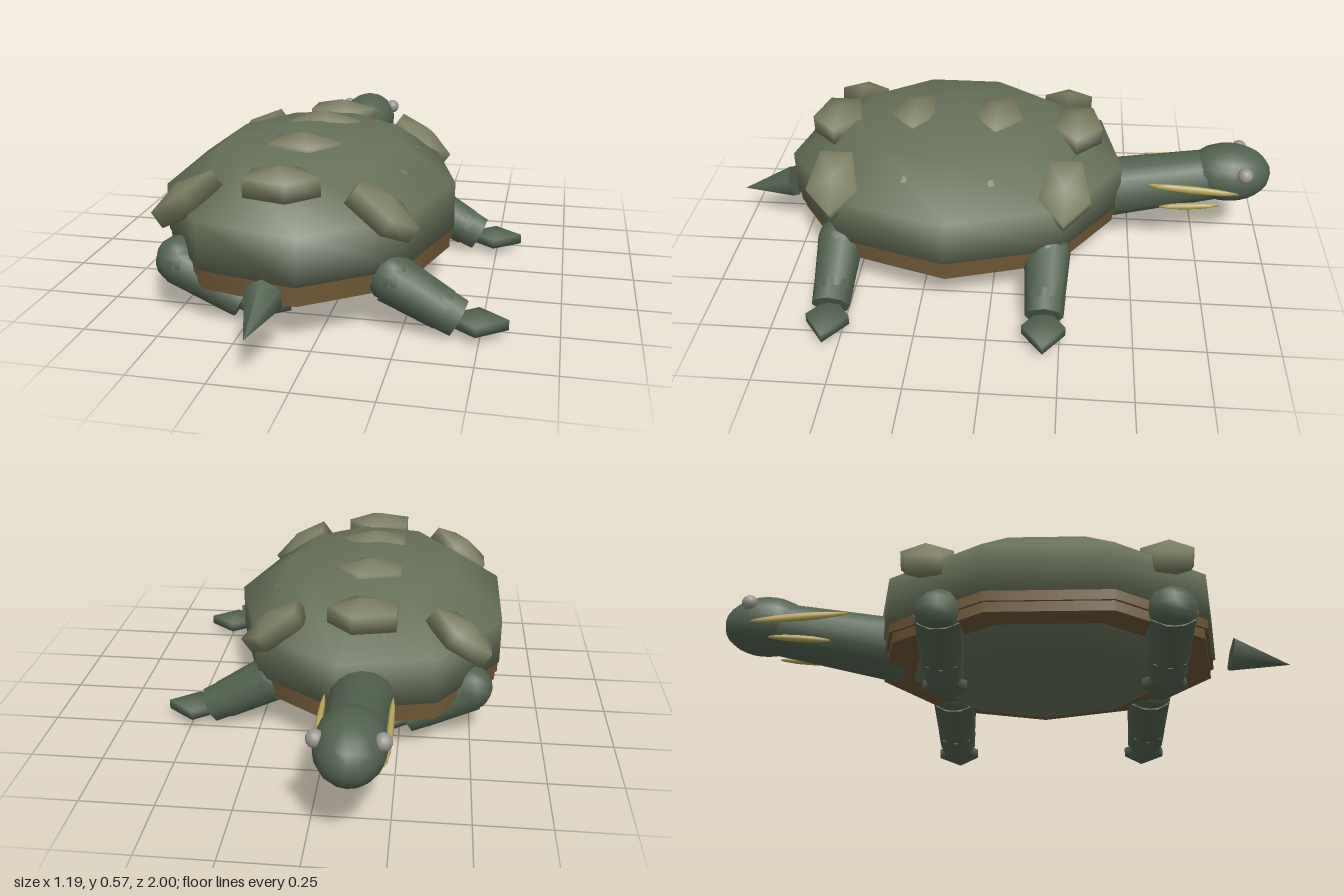
import * as THREE from 'three';

const material = (color) => new THREE.MeshStandardMaterial({ color });

export function createModel() {
  const model = new THREE.Group();
  const shellMat = material(0x667058), scuteMat = material(0x7a7d60), skinMat = material(0x536350);
  const rimMat = material(0x6e5735), stripeMat = material(0xb5a55c), eyeMat = material(0x999590);
  const cx = -0.13, cz = 0.155;

  const add = (parent, name, geometry, mat) => {
    const mesh = new THREE.Mesh(geometry, mat);
    mesh.name = name;
    parent.add(mesh);
    return mesh;
  };
  // Ellipsoid with a corner pointing to +x
  const ball = (parent, name, mat, [x, y, z], [rx, ry, rz], w = 16, h = 12) => {
    const geometry = new THREE.SphereGeometry(1, w, h).rotateY(Math.PI).scale(rx, ry, rz);
    const mesh = add(parent, name, geometry, mat);
    mesh.position.set(x, y, z);
    return mesh;
  };
  // Tapered cylinder between two points
  const limb = (parent, name, mat, from, to, r0, r1, sides) => {
    const a = new THREE.Vector3(...from), b = new THREE.Vector3(...to);
    const dir = b.clone().sub(a);
    const mesh = add(parent, name, new THREE.CylinderGeometry(r1, r0, dir.length(), sides), mat);
    mesh.position.copy(a).add(b).multiplyScalar(0.5);
    mesh.quaternion.setFromUnitVectors(new THREE.Vector3(0, 1, 0), dir.normalize());
    return mesh;
  };

  // Nine-sided shell and the stepped rim around its lower edge
  ball(model, 'shell', shellMat, [cx, 0.3, cz], [0.523, 0.263, 0.615 / 0.951], 9, 5);
  [['upperRim', 0.2, 0.04, 0.492, 0.605], ['lowerRim', 0.165, 0.04, 0.484, 0.592]].forEach(([name, y, h, rx, rz]) => {
    const geometry = new THREE.CylinderGeometry(1, 1, h, 9).rotateY(Math.PI / 2).scale(rx, 1, rz);
    add(model, name, geometry, rimMat).position.set(cx, y, cz);
  });

  // Scutes: a middle row and a tilted row on each side
  const scute = (x, y, z, tilt) => {
    ball(model, 'scute', scuteMat, [x, y, z], [0.15, 0.062, 0.11], 5, 3).rotation.z = tilt;
  };
  for (const s of [-1, 1]) {
    scute(cx, 0.485, cz + s * 0.438, 0);
    scute(cx, 0.513, cz + s * 0.148, 0);
    for (const dz of [0.402, 0.145]) {
      scute(-0.45, 0.405, cz + s * dz, 0.62);
      scute(0.18, 0.41, cz + s * dz, -0.62);
    }
  }

  // Four identical legs, all reaching toward +x
  for (const x of [0, -0.705]) {
    for (const z of [-0.195, 0.547]) {
      const leg = new THREE.Group();
      leg.name = 'leg';
      leg.position.set(x, 0, z);
      ball(leg, 'shoulder', skinMat, [0.213, 0.187, 0], [0.08, 0.08, 0.083], 10, 8);
      limb(leg, 'upperLeg', skinMat, [0.212, 0.183, 0], [0.385, 0.087, 0], 0.083, 0.069, 10);
      limb(leg, 'ankle', skinMat, [0.36, 0.101, 0], [0.43, 0.065, 0], 0.072, 0.067, 8);
      ball(leg, 'foot', skinMat, [0.49, 0.055, 0], [0.115, 0.035, 0.087], 4, 3);
      model.add(leg);
    }
  }

  // Neck and head
  ball(model, 'neckBase', skinMat, [cx, 0.233, -0.39], [0.113, 0.113, 0.08]);
  limb(model, 'neck', skinMat, [cx, 0.231, -0.375], [cx, 0.315, -0.79], 0.113, 0.095, 16);
  ball(model, 'head', skinMat, [cx, 0.328, -0.845], [0.112, 0.107, 0.155]);

  // Eyes and cheek stripes, mirrored
  for (const s of [-1, 1]) {
    ball(model, 'eye', eyeMat, [cx + s * 0.098, 0.375, -0.892], [0.027, 0.028, 0.028]);
    const upper = ball(model, 'upperStripe', stripeMat, [cx + s * 0.109, 0.311, -0.71], [0.011, 0.015, 0.172], 8, 10);
    upper.rotation.x = -0.075;
    const lower = ball(model, 'lowerStripe', stripeMat, [cx + s * 0.098, 0.233, -0.705], [0.013, 0.012, 0.112], 8, 10);
    lower.rotation.x = 0.08;
  }

  // Six-sided tail cone
  const tail = add(model, 'tail', new THREE.ConeGeometry(0.065, 0.205, 6).rotateX(Math.PI / 2), skinMat);
  tail.position.set(cx, 0.178, 0.9);
  tail.rotation.x = 0.215;

  return model;
}
